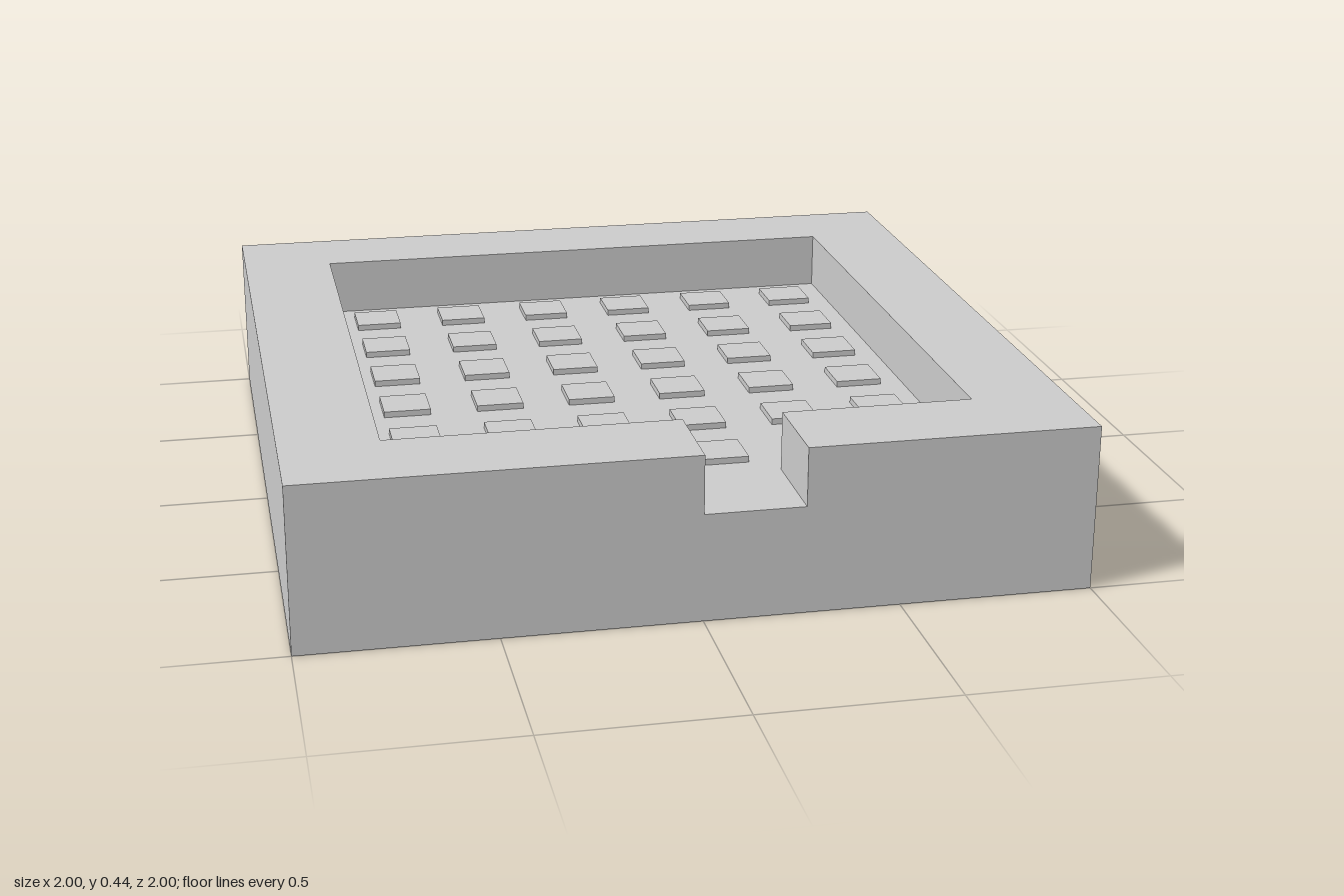
import * as THREE from 'three';

const FLOOR = 0.282, TOP = 0.435, PAD_TOP = 0.298;

export function createModel() {
  const model = new THREE.Group();
  const material = new THREE.MeshStandardMaterial({ color: 0xcccccc, flatShading: true });
  const add = (name, geometry, x, y, z, parent = model) => {
    const mesh = new THREE.Mesh(geometry, material);
    mesh.name = name;
    mesh.position.set(x, y, z);
    parent.add(mesh);
  };

  // Solid slab whose top is the floor of the recess
  add('base', new THREE.BoxGeometry(2, FLOOR, 2), 0, FLOOR / 2, 0);

  // Raised wall around the recess, with a gap in the front side (plan drawn as x, -z)
  const plan = new THREE.Shape([
    [0, -1], [0, -0.75], [-0.75, -0.75], [-0.75, 0.755], [0.75, 0.755], [0.75, -0.75],
    [0.255, -0.75], [0.255, -1], [1, -1], [1, 1], [-1, 1], [-1, -1],
  ].map(([x, y]) => new THREE.Vector2(x, y)));
  const wall = new THREE.ExtrudeGeometry(plan, { depth: TOP - FLOOR, bevelEnabled: false });
  wall.rotateX(-Math.PI / 2);
  add('wall', wall, 0, FLOOR, 0);

  // Six by six grid of low square pads on the floor
  const pads = new THREE.Group();
  pads.name = 'floorPads';
  const padHeight = PAD_TOP - FLOOR;
  const pad = new THREE.BoxGeometry(0.125, padHeight, 0.125);
  for (let row = 0; row < 6; row++) {
    for (let col = 0; col < 6; col++) {
      add('pad', pad, (col - 2.5) * 0.25, FLOOR + padHeight / 2, (row - 2.5) * 0.25, pads);
    }
  }
  model.add(pads);

  return model;
}
